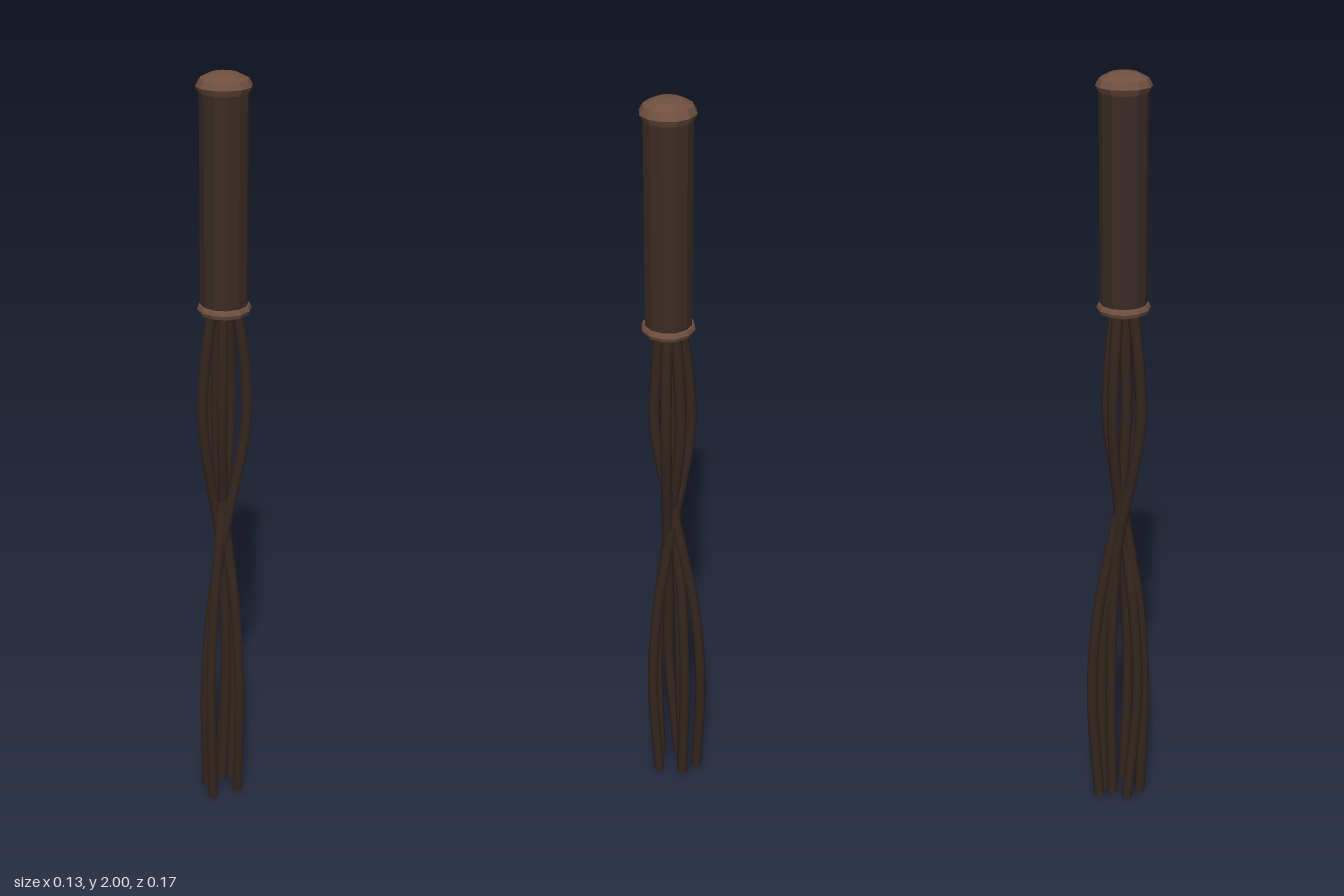
import * as THREE from 'three';

const GRIP_Z = 0.013; // the grip axis sits slightly forward of centre
const material = (color, flatShading = false) => new THREE.MeshStandardMaterial({ color, flatShading });

function add(group, name, geometry, mat, y) {
  const mesh = new THREE.Mesh(geometry, mat);
  mesh.name = name;
  mesh.position.set(0, y, GRIP_Z);
  group.add(mesh);
  return mesh;
}

export function createModel() {
  const group = new THREE.Group();
  const grip = material(0x3b2b25, true);
  const trim = material(0x6f5040, true);
  const leather = material(0x35261f);

  // Grip with a domed pommel and a rounded collar
  add(group, 'grip', new THREE.CylinderGeometry(0.058, 0.058, 0.53, 12), grip, 1.695);
  const pommel = add(group, 'pommel', new THREE.SphereGeometry(0.066, 12, 6), trim, 1.967);
  pommel.scale.y = 0.5;
  const collar = add(group, 'collar', new THREE.TorusGeometry(0.052, 0.014, 8, 12), trim, 1.439);
  collar.rotation.x = Math.PI / 2;

  // Strands: [x, z] at the upper bulge, the lower bulge and the tip, then tip height.
  // They cross over each other near the middle.
  const strands = [
    [[0.01, 0.05], [-0.035, -0.073], [-0.043, -0.055], 0.014],
    [[-0.04, 0.053], [0, -0.046], [0, -0.038], 0.005],
    [[0.045, -0.02], [-0.04, 0.05], [-0.05, 0.022], 0.008],
    [[0, -0.026], [-0.015, 0.07], [-0.015, 0.06], 0.001],
    [[-0.05, -0.015], [0.05, 0.028], [0.04, 0.015], 0.01],
    [[-0.02, 0.018], [-0.01, -0.02], [-0.022, -0.018], 0.003],
  ];
  strands.forEach(([upper, lower, tip, tipY], i) => {
    const at = ([x, z], y, k = 1) => new THREE.Vector3(x * k, y, GRIP_Z + (z - GRIP_Z) * k);
    const mix = (t) => [0, 1].map((j) => upper[j] * (1 - t) + lower[j] * t);
    const path = new THREE.CatmullRomCurve3([
      at(upper, 1.45, 0.5),
      at(upper, 1.3, 0.9),
      at(upper, 1.13),
      at(mix(0.5), 0.83),
      at(mix(0.85), 0.6),
      at(lower, 0.35),
      at(tip, tipY),
    ]);
    const strand = new THREE.Group();
    strand.name = `strand${i + 1}`;
    const tube = new THREE.Mesh(new THREE.TubeGeometry(path, 40, 0.014, 8), leather);
    tube.name = 'strandBody';
    // Cut end
    const end = new THREE.Mesh(new THREE.CircleGeometry(0.014, 8), leather);
    end.name = 'strandEnd';
    end.position.copy(path.getPoint(1));
    end.lookAt(end.position.clone().add(path.getTangent(1)));
    strand.add(tube, end);
    group.add(strand);
  });

  return group;
}
